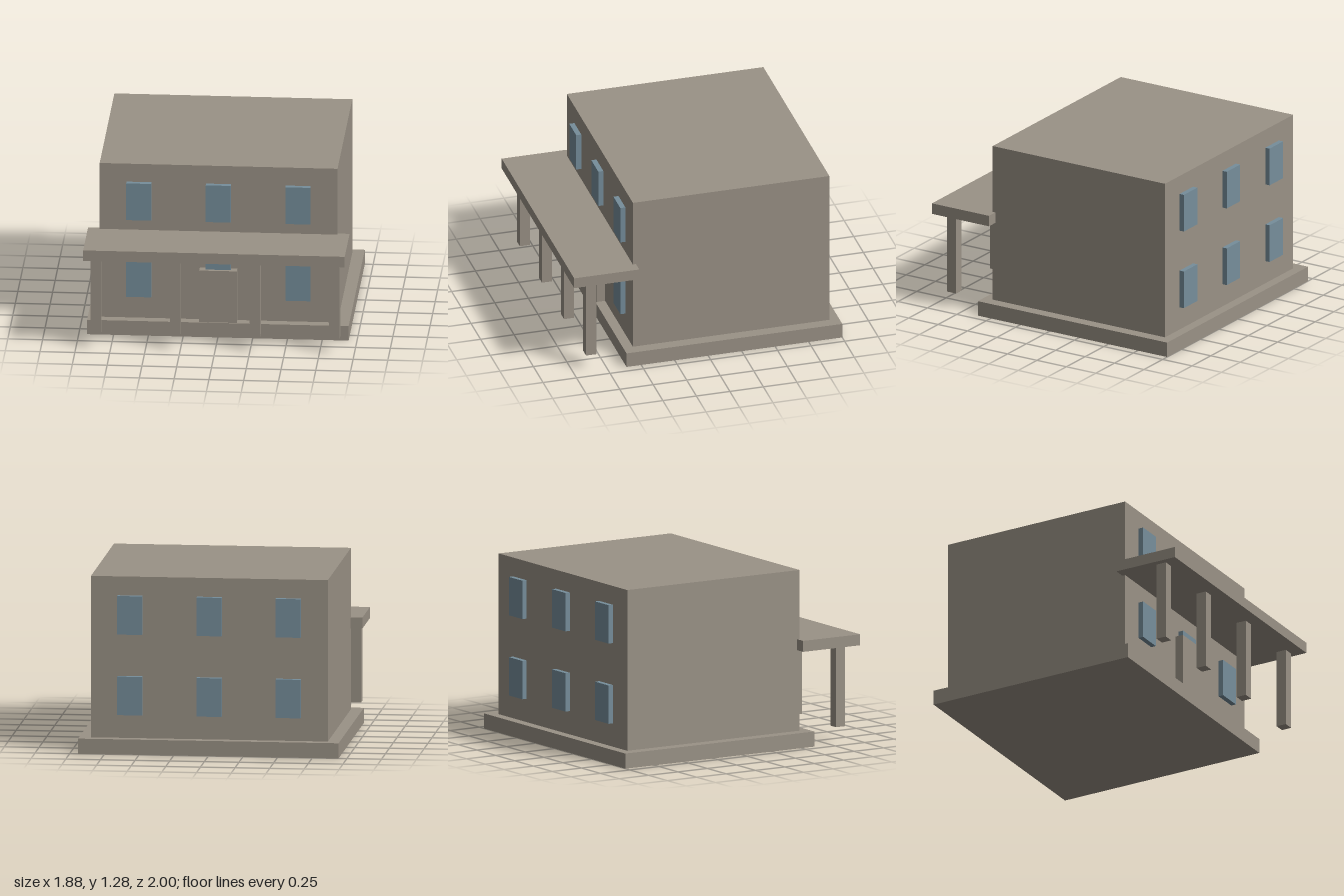
import * as THREE from 'three';

const stone = new THREE.MeshStandardMaterial({ color: 0x9a9286 });
stone.name = 'warm grey stone';
const glass = new THREE.MeshStandardMaterial({ color: 0x768e9b });
glass.name = 'blue grey glass';

export function createModel() {
  const house = new THREE.Group();
  house.name = 'house';

  // Box given by its lower and upper limits on each axis
  function block(name, material, [x0, x1], [y0, y1], [z0, z1], parent = house) {
    const mesh = new THREE.Mesh(new THREE.BoxGeometry(x1 - x0, y1 - y0, z1 - z0), material);
    mesh.position.set((x0 + x1) / 2, (y0 + y1) / 2, (z0 + z1) / 2);
    mesh.name = name;
    parent.add(mesh);
  }

  // Plinth and main body
  block('plinth', stone, [-0.94, 0.94], [0, 0.11], [-1, 0.61]);
  block('mainBody', stone, [-0.855, 0.855], [0.11, 1.282], [-0.928, 0.538]);
  block('frontDoor', stone, [-0.135, 0.135], [0.11, 0.503], [0.53, 0.6]);

  // Porch: flat roof on four square columns in front of the plinth
  const porch = new THREE.Group();
  porch.name = 'porch';
  house.add(porch);
  block('porchRoof', stone, [-0.94, 0.94], [0.7, 0.78], [0.515, 1], porch);
  for (const x of [-0.858, -0.286, 0.286, 0.858]) {
    block('porchColumn', stone, [x - 0.038, x + 0.038], [0.113, 0.7], [0.823, 0.899], porch);
  }

  // Three windows per storey on the front and back
  const windows = new THREE.Group();
  windows.name = 'windows';
  house.add(windows);
  for (const z of [[0.538, 0.576], [-0.965, -0.928]]) {
    for (const y of [0.42, 1.005]) {
      for (const x of [-0.572, 0, 0.572]) {
        block('window', glass, [x - 0.09, x + 0.09], [y - 0.14, y + 0.14], z, windows);
      }
    }
  }

  return house;
}
